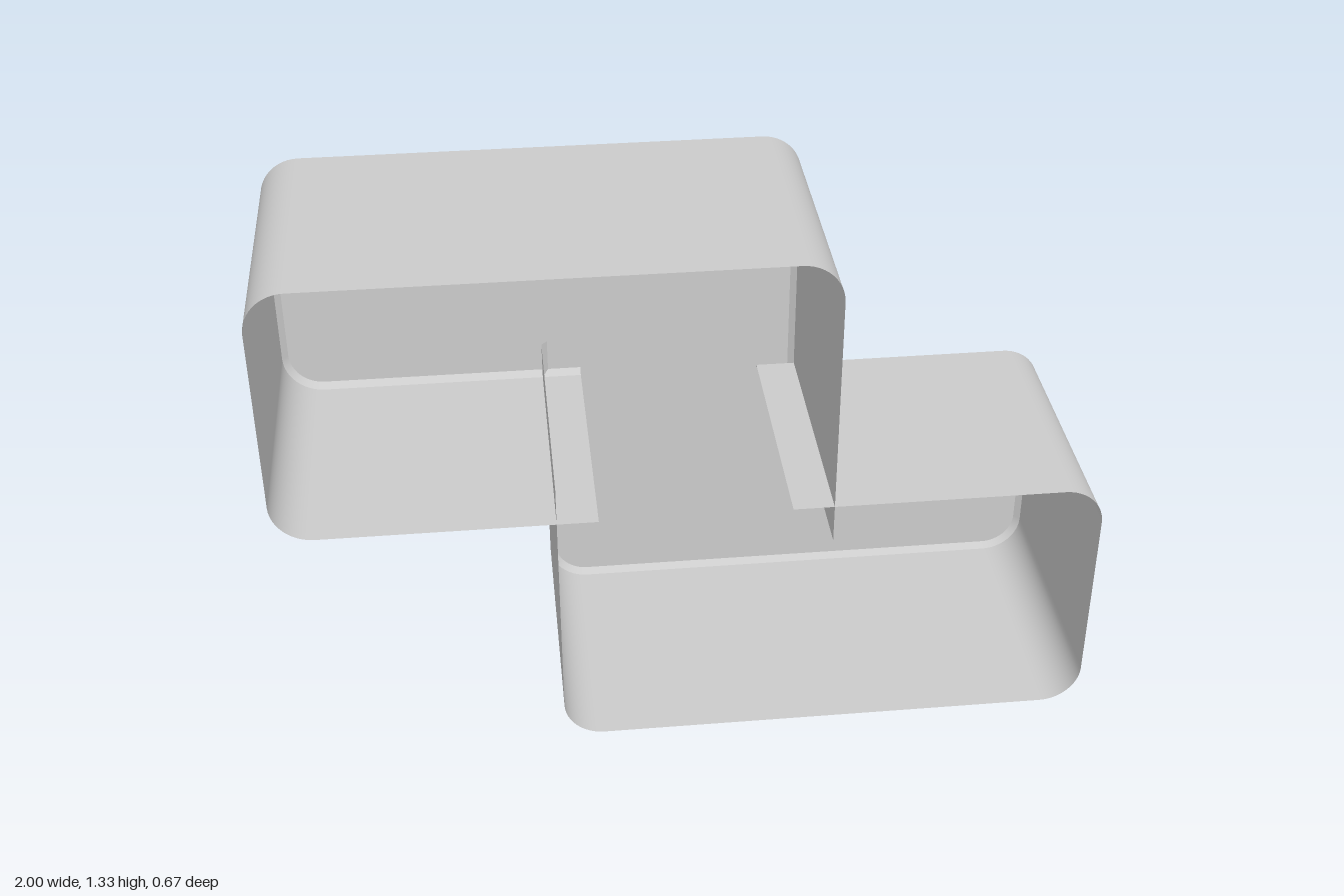
import * as THREE from 'three';

const T = 1 / 3;         // half a cell; the body is built around its centre
const R = 0.1;           // corner radius, also how far the wall ends overshoot
const B = 0.015;         // bevel at the back edge
const STEPS = 12;

const material = new THREE.MeshStandardMaterial({ color: 0xcccccc, side: THREE.DoubleSide });

// Open path around the lower block: points with their outward normals
function wallPath() {
  const path = [{ x: T - R, y: 0, nx: 0, ny: 1 }];
  const corners = [
    [1 - R, -R, Math.PI / 2],
    [1 - R, -2 * T + R, 0],
    [-T + R, -2 * T + R, -Math.PI / 2],
  ];
  for (const [cx, cy, start] of corners) {
    for (let i = 0; i <= STEPS; i++) {
      const a = start - (i / STEPS) * Math.PI / 2;
      const nx = Math.cos(a), ny = Math.sin(a);
      path.push({ x: cx + R * nx, y: cy + R * ny, nx, ny });
    }
  }
  path.push({ x: -T, y: R, nx: -1, ny: 0 });
  return path;
}

// Strip along the path between two depths, each with its own inset
function strip(path, z0, inset0, z1, inset1) {
  const positions = [], normals = [], index = [];
  const slope = new THREE.Vector2(z0 - z1, inset0 - inset1).normalize();
  path.forEach((p, i) => {
    for (const [z, d] of [[z0, inset0], [z1, inset1]]) {
      positions.push(p.x - p.nx * d, p.y - p.ny * d, z);
      normals.push(p.nx * slope.x, p.ny * slope.x, slope.y);
    }
    if (i < path.length - 1) {
      const a = 2 * i;
      index.push(a, a + 2, a + 3, a, a + 3, a + 1);
    }
  });
  const g = new THREE.BufferGeometry();
  g.setAttribute('position', new THREE.Float32BufferAttribute(positions, 3));
  g.setAttribute('normal', new THREE.Float32BufferAttribute(normals, 3));
  g.setIndex(index);
  return g;
}

function addMesh(parent, name, geometry) {
  const mesh = new THREE.Mesh(geometry, material);
  mesh.name = name;
  parent.add(mesh);
}

export function createModel() {
  const group = new THREE.Group();
  group.name = 'steppedShell';
  const body = new THREE.Group();
  body.name = 'body';
  body.position.y = 2 * T;
  group.add(body);

  const path = wallPath();

  // Side walls and back bevel, repeated by a half turn for the upper block
  const wall = strip(path, T, 0, -T + B, 0);
  const bevel = strip(path, -T + B, 0, -T, B);
  ['lower', 'upper'].forEach((side, i) => {
    const half = new THREE.Group();
    half.name = side + 'Block';
    half.rotation.z = i * Math.PI;
    addMesh(half, side + 'Wall', wall);
    addMesh(half, side + 'Bevel', bevel);
    body.add(half);
  });

  // Back panel: the inset outline with sharp inner corners
  const halfOutline = path.slice(1, -1)
    .map(p => new THREE.Vector2(p.x - p.nx * B, p.y - p.ny * B));
  halfOutline.push(new THREE.Vector2(-T + B, B));
  const outline = [...halfOutline, ...halfOutline.map(p => p.clone().negate())];
  const panel = new THREE.ShapeGeometry(new THREE.Shape(outline));
  panel.rotateY(Math.PI).scale(-1, 1, 1); // keep the outline, face the back
  const idx = panel.index.array;
  for (let i = 0; i < idx.length; i += 3) [idx[i], idx[i + 1]] = [idx[i + 1], idx[i]];
  panel.computeVertexNormals();
  panel.translate(0, 0, -T);
  addMesh(body, 'backPanel', panel);

  return group;
}
